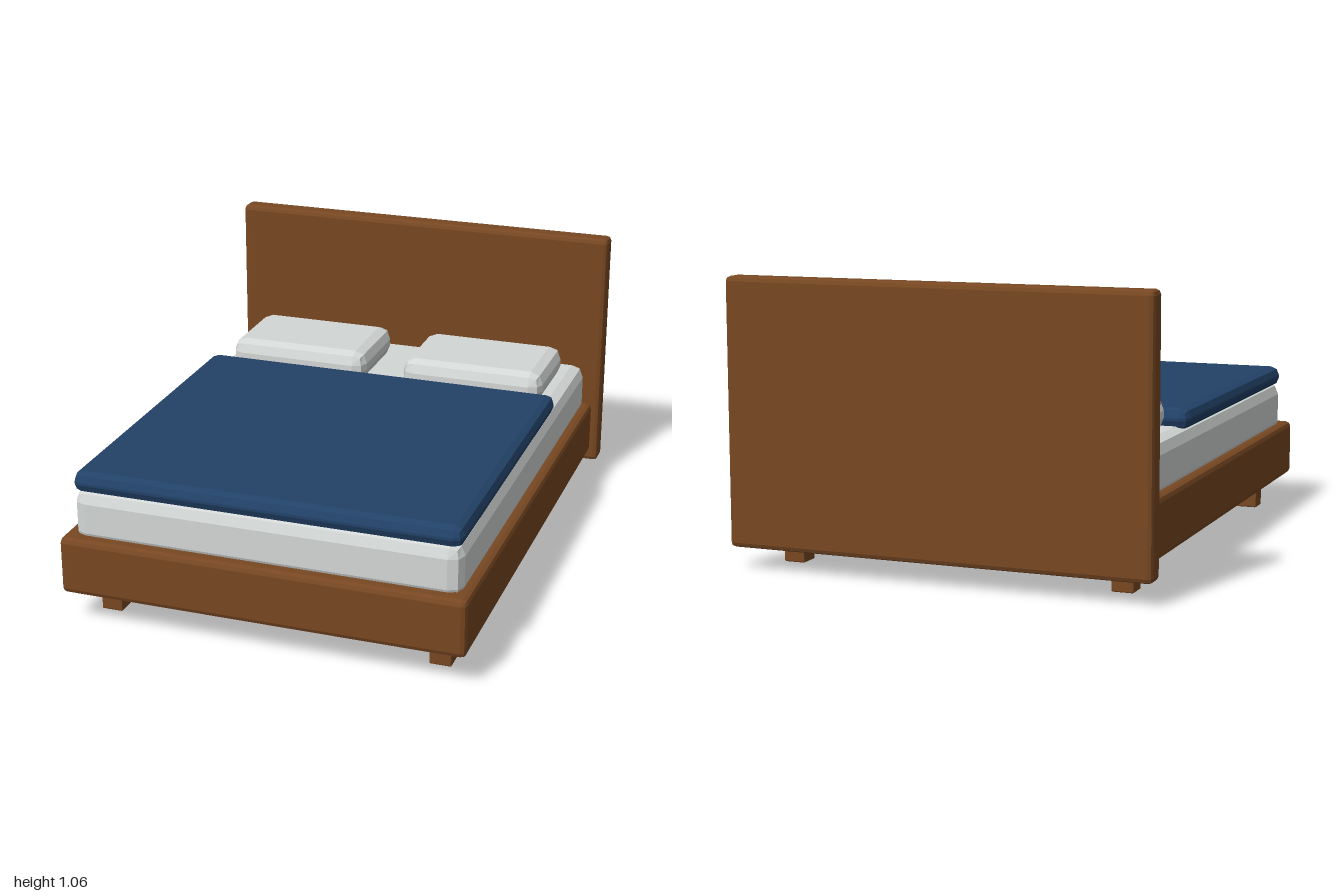
import * as THREE from 'three';
import { RoundedBoxGeometry } from 'three/addons/geometries/RoundedBoxGeometry.js';

const material = (name, color) => {
  const m = new THREE.MeshStandardMaterial({ color });
  m.name = name;
  return m;
};

// Box between two corners with a faceted two-step bevel
function bevelBox(name, mat, [x0, y0, z0], [x1, y1, z1], bevel) {
  const geometry = new RoundedBoxGeometry(x1 - x0, y1 - y0, z1 - z0, 1, bevel);
  geometry.computeVertexNormals();
  const mesh = new THREE.Mesh(geometry, mat);
  mesh.name = name;
  mesh.position.set((x0 + x1) / 2, (y0 + y1) / 2, (z0 + z1) / 2);
  return mesh;
}

export function createModel() {
  const wood = material('wood', 0x784822);
  const linen = material('linen', 0xd3d7d5);
  const blue = material('blue fabric', 0x224268);

  const bed = new THREE.Group();
  bed.name = 'bed';

  // Wooden frame and headboard
  bed.add(bevelBox('frame', wood, [-0.765, 0.12, -0.93], [0.765, 0.34, 1], 0.02));
  bed.add(bevelBox('headboard', wood, [-0.8, 0.08, -1], [0.8, 1.06, -0.91], 0.018));

  // Bedding
  bed.add(bevelBox('mattress', linen, [-0.73, 0.3, -0.93], [0.73, 0.515, 0.95], 0.05));
  bed.add(bevelBox('blanket', blue, [-0.73, 0.5, -0.385], [0.73, 0.58, 0.945], 0.035));

  // Pillows and legs, mirrored left and right
  for (const [side, s] of [['left', 1], ['right', -1]]) {
    const pillow = bevelBox(side + 'Pillow', linen, [-0.29, 0.505, -0.805], [0.29, 0.632, -0.4], 0.05);
    pillow.position.x = s * 0.37;
    bed.add(pillow);
    for (const [end, z] of [['Front', 0.815], ['Back', -0.78]]) {
      const leg = bevelBox(side + end + 'Leg', wood, [-0.041, 0, z - 0.041], [0.041, 0.14, z + 0.041], 0.005);
      leg.position.x = s * 0.635;
      bed.add(leg);
    }
  }
  return bed;
}
